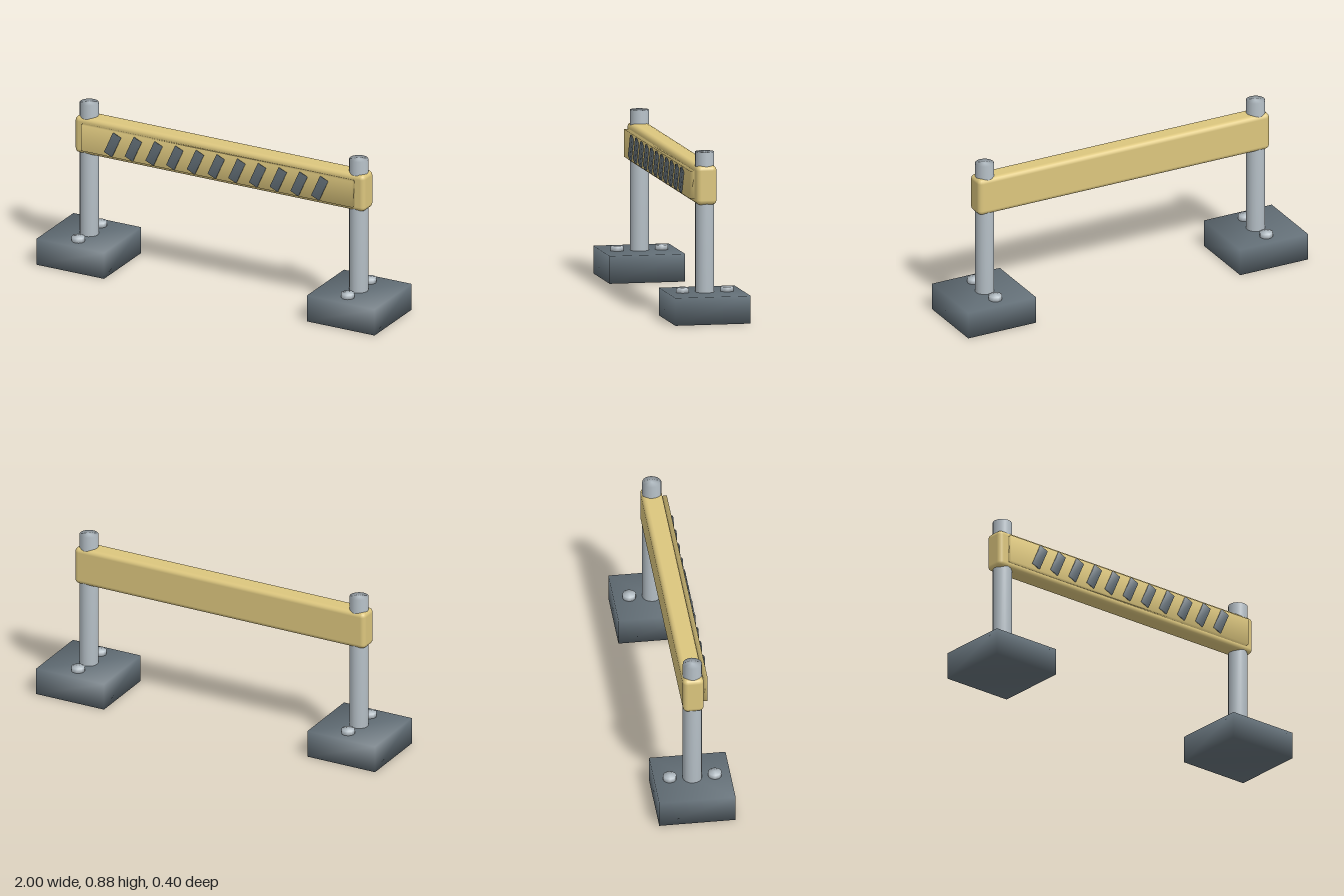
import * as THREE from 'three';
import { mergeVertices } from 'three/addons/utils/BufferGeometryUtils.js';
import { RoundedBoxGeometry } from 'three/addons/geometries/RoundedBoxGeometry.js';

const material = (name, color) => {
  const m = new THREE.MeshStandardMaterial({ color });
  m.name = name;
  return m;
};

// Weld all corners so shading runs smoothly across every edge
function soften(geometry) {
  geometry.deleteAttribute('normal');
  geometry.deleteAttribute('uv');
  geometry.clearGroups();
  const welded = mergeVertices(geometry, 1e-4);
  welded.computeVertexNormals();
  return welded;
}

export function createModel() {
  const group = new THREE.Group();
  const gold = material('warm yellow', 0xdcc67e);
  const slate = material('dark slate', 0x636f77);
  const steel = material('light steel', 0xb6c0c7);

  const add = (name, geometry, mat, x, y, z) => {
    const mesh = new THREE.Mesh(geometry, mat);
    mesh.name = name;
    mesh.position.set(x, y, z);
    group.add(mesh);
    return mesh;
  };

  // Feet, posts and bolts on both sides
  const footGeo = soften(new THREE.BoxGeometry(0.4, 0.145, 0.4));
  const postGeo = soften(new THREE.CylinderGeometry(0.05, 0.05, 0.735, 16));
  const boltGeo = soften(new THREE.CylinderGeometry(0.035, 0.035, 0.03, 12));
  for (const [side, label] of [[1, 'left'], [-1, 'right']]) {
    add(label + 'Foot', footGeo, slate, side * 0.8, 0.0725, 0);
    add(label + 'Post', postGeo, steel, side * 0.797, 0.5125, 0);
    for (const end of [1, -1]) {
      add(label + (end > 0 ? 'FrontBolt' : 'BackBolt'), boltGeo, steel, side * 0.797, 0.155, end * 0.118);
    }
  }

  // Crossbar with bevelled edges
  add('crossbar', new RoundedBoxGeometry(1.715, 0.205, 0.11, 2, 0.025), gold, 0, 0.7075, 0);

  // Raised sign plate on the front
  add('signPlate', soften(new THREE.BoxGeometry(1.606, 0.145, 0.03)), gold, 0, 0.7075, 0.065);

  // Row of slanted warning stripes
  const stripeGeo = soften(new THREE.BoxGeometry(0.05, 0.125, 0.015));
  for (let i = -5; i <= 5; i++) {
    add('stripe' + (i + 6), stripeGeo, slate, i * 0.1225, 0.7075, 0.0825).rotation.z = -0.42;
  }
  return group;
}
